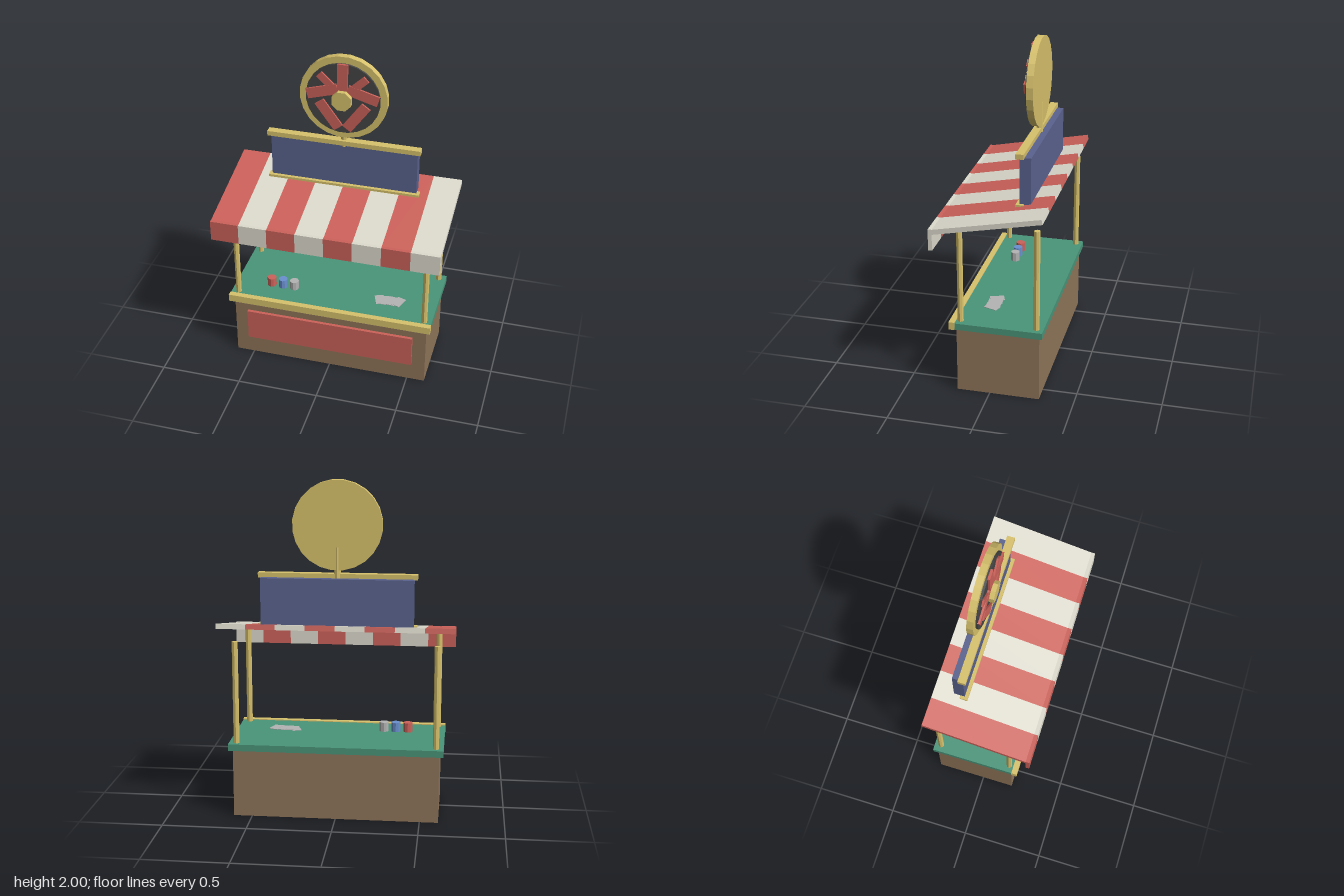
import * as THREE from 'three';

const colors = {
  gold: 0xd8c26c, red: 0xcd625a, brown: 0x8f755a, green: 0x4a957a,
  navy: 0x5a638f, cream: 0xdedbce, dark: 0x454545, blue: 0x6a90d0, grey: 0xb4b4b4,
};
const mats = {};
for (const key in colors) {
  mats[key] = new THREE.MeshStandardMaterial({ color: colors[key], flatShading: true });
}

export function createModel() {
  const model = new THREE.Group();
  model.name = 'marketStall';

  const add = (name, geometry, mat, x, y, z, parent = model) => {
    const mesh = new THREE.Mesh(geometry, mats[mat]);
    mesh.name = name;
    mesh.position.set(x, y, z);
    parent.add(mesh);
    return mesh;
  };
  // Box given by its extents on each axis
  const box = (name, mat, [x0, x1], [y0, y1], [z0, z1], parent) =>
    add(name, new THREE.BoxGeometry(x1 - x0, y1 - y0, z1 - z0), mat,
      (x0 + x1) / 2, (y0 + y1) / 2, (z0 + z1) / 2, parent);
  // Upright cylinder from y0 to y1
  const post = (name, mat, r, sides, x, z, y0, y1) =>
    add(name, new THREE.CylinderGeometry(r, r, y1 - y0, sides), mat, x, (y0 + y1) / 2, z);
  // Disc facing the front, from z0 to z1
  const disc = (name, mat, r, sides, y, z0, z1) => {
    const g = new THREE.CylinderGeometry(r, r, z1 - z0, sides, 1, false, Math.PI / sides);
    return add(name, g.rotateX(Math.PI / 2), mat, 0, y, (z0 + z1) / 2);
  };

  // Counter
  box('counterBody', 'brown', [-0.61, 0.61], [0, 0.41], [-0.295, 0.195]);
  box('frontPanel', 'red', [-0.527, 0.527], [0.125, 0.33], [0.19, 0.214]);
  box('counterTop', 'green', [-0.635, 0.635], [0.41, 0.45], [-0.315, 0.205]);
  box('counterTrim', 'gold', [-0.637, 0.637], [0.408, 0.455], [0.2, 0.235]);

  // Awning posts
  for (const x of [-0.59, 0.59]) {
    post('frontPost', 'gold', 0.018, 8, x, 0.174, 0.45, 1.045);
    post('backPost', 'gold', 0.018, 8, x, -0.274, 0.45, 1.065);
  }

  // Striped sloping awning with hanging valance
  const awning = new THREE.Group();
  awning.name = 'awning';
  model.add(awning);
  const w = 1.38 / 8;
  for (let i = 0; i < 8; i++) {
    const mat = i % 2 ? 'cream' : 'red';
    const x = -0.69 + w * i;
    const roof = box('awningStripe', mat, [x, x + w], [1.085, 1.115], [-0.328, 0.328], awning);
    roof.rotation.x = Math.atan(0.2);
    box('valanceStripe', mat, [x, x + w], [0.927, 1.055], [0.303, 0.326], awning);
  }

  // Sign board
  box('signBoard', 'navy', [-0.447, 0.447], [1.15, 1.43], [-0.205, -0.14]);
  box('signTopTrim', 'gold', [-0.466, 0.466], [1.426, 1.456], [-0.166, -0.119]);
  box('signBottomTrim', 'gold', [-0.466, 0.466], [1.134, 1.154], [-0.166, -0.119]);

  // Wheel emblem on its pole
  const cy = 1.738;
  post('wheelPole', 'gold', 0.02, 8, 0, -0.153, 1.41, 1.61);
  disc('wheelRim', 'gold', 0.262, 24, cy, -0.17, -0.13);
  disc('wheelFace', 'dark', 0.222, 24, cy, -0.135, -0.117);
  disc('wheelHub', 'gold', 0.062, 8, cy, -0.11, -0.078);

  // Bar between two points on the wheel face
  const bar = (ax, ay, bx, by, width, depth) => {
    const g = new THREE.BoxGeometry(Math.hypot(bx - ax, by - ay), width, depth);
    const m = add('wheelBar', g, 'red', (ax + bx) / 2, cy + (ay + by) / 2, -0.12 + depth / 2);
    m.rotation.z = Math.atan2(by - ay, bx - ax);
  };
  bar(0, 0.03, 0, 0.222, 0.063, 0.015);
  for (const s of [-1, 1]) {
    bar(s * 0.03, 0.065, s * 0.212, 0.012, 0.063, 0.0145);
    bar(s * 0.14, -0.03, s * 0.025, -0.188, 0.063, 0.014);
    bar(s * 0.05, 0.06, s * 0.14, 0.145, 0.045, 0.0135);
  }

  // Cups on the counter
  ['red', 'blue', 'grey'].forEach((mat, i) =>
    post('cup', mat, 0.028, 10, -0.41 + 0.073 * i, 0.055, 0.45, 0.507));

  // Fan of cards on the counter
  for (let i = 0; i < 4; i++) {
    const card = add('card', new THREE.BoxGeometry(0.055, 0.003, 0.085), 'grey',
      0.28 + 0.04 * i, 0.4525 + 0.0015 * i, 0.035);
    card.rotation.y = 0.35 - 0.23 * i;
  }
  return model;
}
